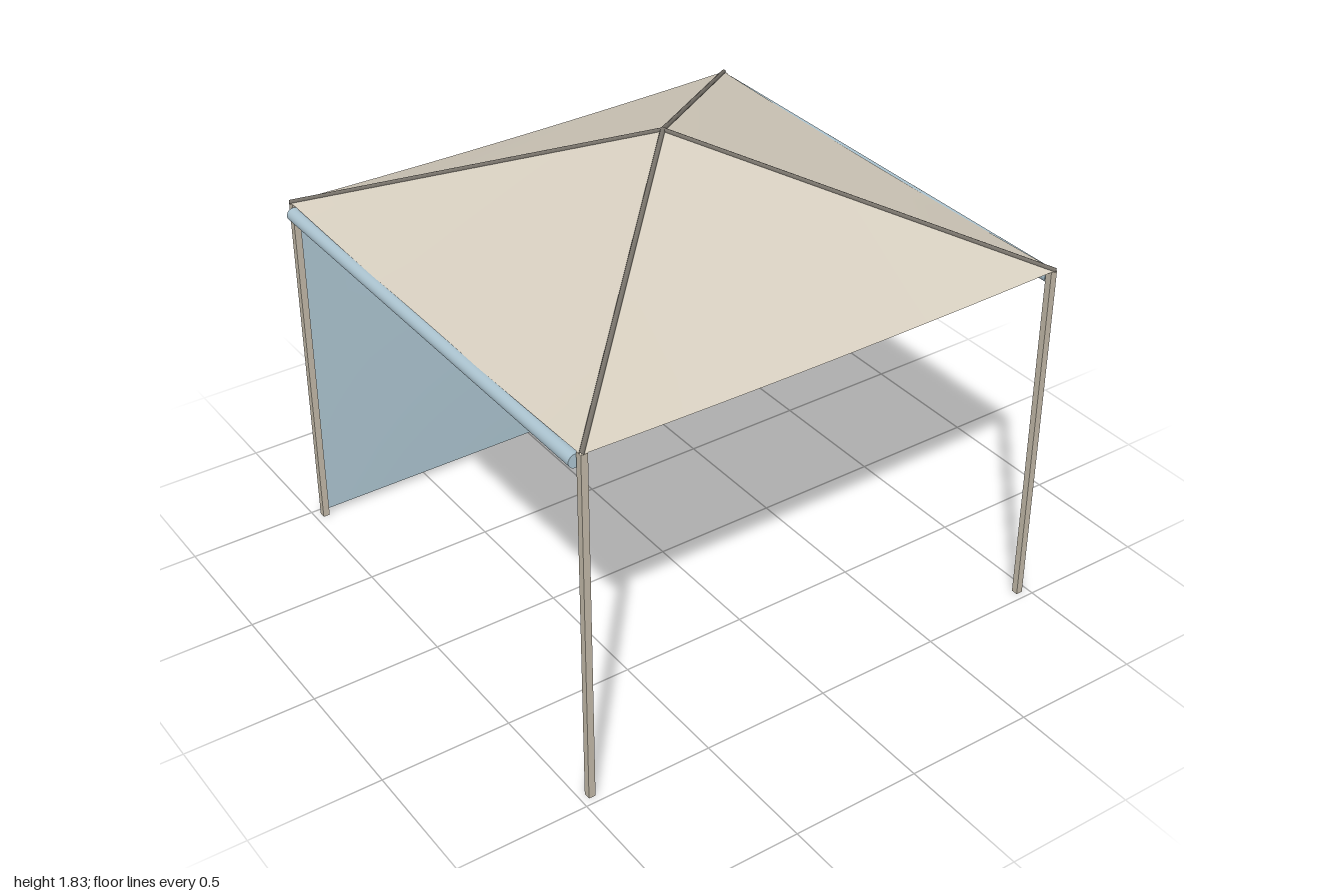
import * as THREE from 'three';

const mat = (name, color, side = THREE.FrontSide) => {
  const m = new THREE.MeshStandardMaterial({ color, side });
  m.name = name;
  return m;
};

export function createModel() {
  const group = new THREE.Group();
  const canvas = mat('beige canvas', 0xd6cebf, THREE.DoubleSide);
  const postPaint = mat('post beige', 0xc0b7a6);
  const ribPaint = mat('dark rib', 0x77726a);
  const blue = mat('blue fabric', 0xabc3cf);

  const add = (name, geometry, material) => {
    const mesh = new THREE.Mesh(geometry, material);
    mesh.name = name;
    group.add(mesh);
    return mesh;
  };

  const EAVE = 1.4, APEX = 1.815, HALF = 0.97, POST = 0.96;

  // Roof: four triangular panels, sagging slightly at the eave
  const panel = new THREE.PlaneGeometry(2, 1, 16, 8);
  const p = panel.attributes.position;
  for (let i = 0; i < p.count; i++) {
    const s = p.getX(i);
    const t = 0.5 - p.getY(i);
    const sag = 0.012 * t * t * (1 - s * s);
    p.setXYZ(i, s * t * HALF, APEX - (APEX - EAVE) * t - sag, t * HALF);
  }
  panel.computeVertexNormals();
  for (let i = 0; i < 4; i++) {
    add('roofPanel', panel, canvas).rotation.y = i * Math.PI / 2;
  }

  // Posts and hip ribs at each corner
  const apex = new THREE.Vector3(0, APEX, 0);
  for (const sx of [-1, 1]) {
    for (const sz of [-1, 1]) {
      const post = add('post', new THREE.BoxGeometry(0.026, EAVE, 0.026), postPaint);
      post.position.set(sx * POST, EAVE / 2, sz * POST);

      const corner = new THREE.Vector3(sx * HALF, EAVE, sz * HALF);
      const path = new THREE.LineCurve3(corner, apex);
      add('hipRib', new THREE.TubeGeometry(path, 1, 0.009, 8), ribPaint);
    }
  }
  add('ribHub', new THREE.SphereGeometry(0.01, 12, 8), ribPaint).position.copy(apex);

  // Back wall: a thin, slightly pillowed fabric sheet
  const wallW = 1.9, wallH = 1.36;
  const wall = new THREE.BoxGeometry(wallW, wallH, 0.006, 16, 12, 1);
  const w = wall.attributes.position;
  for (let i = 0; i < w.count; i++) {
    const u = w.getX(i) / (wallW / 2), v = w.getY(i) / (wallH / 2);
    const puff = 0.009 * (1 - u * u) * (1 - v * v);
    w.setZ(i, w.getZ(i) + Math.sign(w.getZ(i)) * puff);
  }
  wall.computeVertexNormals();
  add('backWall', wall, blue).position.set(0, 0.025 + wallH / 2, -POST);

  // Rolled-up side walls below the eaves
  for (const sx of [-1, 1]) {
    const roll = add('rolledSideWall', new THREE.CylinderGeometry(0.026, 0.026, 1.885, 24), blue);
    roll.rotation.x = Math.PI / 2;
    roll.position.set(sx * 0.974, 1.364, 0);
  }
  return group;
}
